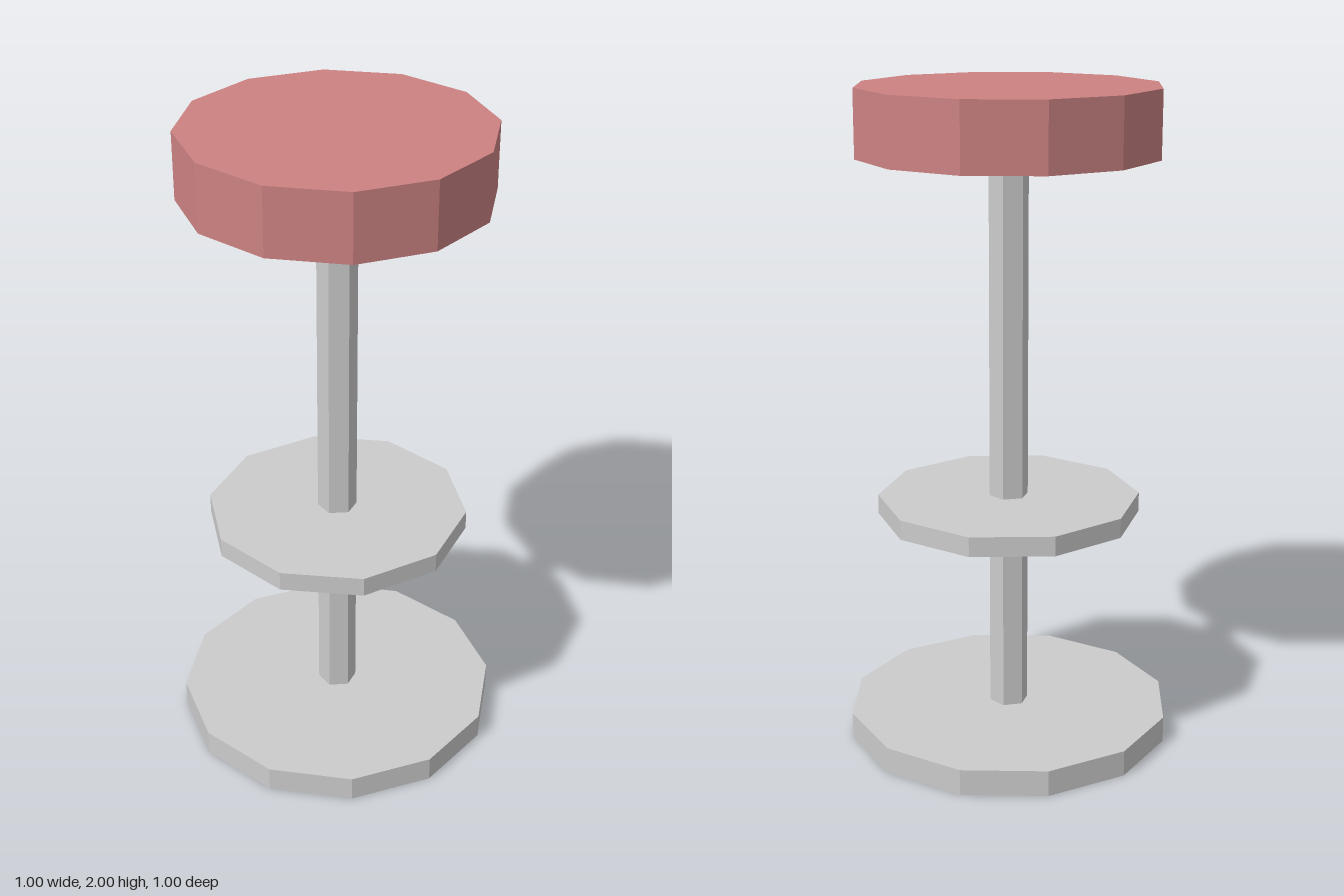
import * as THREE from 'three';

export function createModel() {
  const stool = new THREE.Group();
  stool.name = 'barStool';

  const metal = new THREE.MeshStandardMaterial({ color: 0xcccccc, flatShading: true });
  const cushion = new THREE.MeshStandardMaterial({ color: 0xcc8282, flatShading: true });

  // Upright faceted prism spanning bottom..top
  function addDisc(name, radius, bottom, top, sides, material) {
    const mesh = new THREE.Mesh(
      new THREE.CylinderGeometry(radius, radius, top - bottom, sides), material);
    mesh.name = name;
    mesh.position.y = (bottom + top) / 2;
    stool.add(mesh);
  }

  addDisc('base', 0.5, 0, 0.08, 12, metal);
  addDisc('post', 0.06, 0.08, 1.8, 6, metal);
  addDisc('footRest', 0.4, 0.705, 0.765, 10, metal);
  addDisc('seat', 0.45, 1.8, 2, 12, cushion);

  return stool;
}
